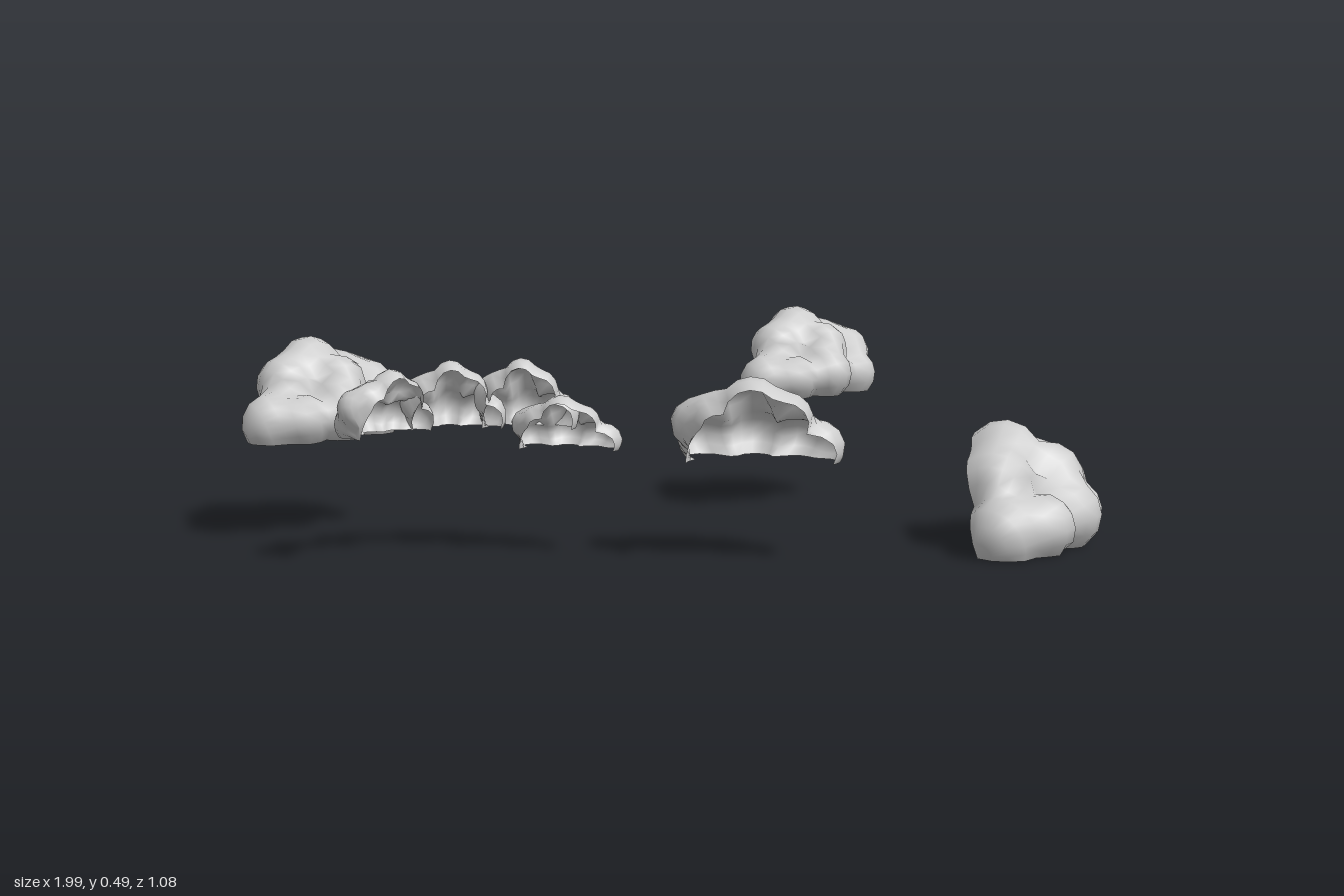
import * as THREE from 'three';

// Lobes of one bush: x, y, z, radius (x along its length, +z its leafy side)
const BACK = -0.07; // depth of the open back
const LOBES = [
  [-0.19, 0.05, -0.02, 0.088], [-0.095, 0.145, -0.06, 0.09], [-0.13, 0.06, 0.055, 0.075],
  [-0.005, 0.187, -0.065, 0.093], [-0.01, 0.07, 0.08, 0.085], [0.02, 0.15, 0.035, 0.08],
  [0.1, 0.145, -0.03, 0.085], [0.155, 0.12, 0.01, 0.085], [0.14, 0.055, 0.06, 0.08],
].map(([x, y, z, r]) => ({ c: new THREE.Vector3(x, y, z - BACK), r }));

// Distance from the middle of the back to the lumpy skin along direction d
function reach(d) {
  let t = 1 / Math.hypot(d.x / 0.19, d.y / 0.19, d.z / 0.15);
  for (const { c, r } of LOBES) {
    const b = d.dot(c);
    const q = b * b - c.lengthSq() + r * r;
    if (q > 0) t = Math.max(t, b + Math.sqrt(q));
  }
  return t;
}

// Thin leafy shell, open underneath and behind, swept from front foot over the top
function bushGeometry(nu, nv) {
  const pos = [], index = [], d = new THREE.Vector3();
  for (let j = 0; j <= nv; j++) {
    const phi = (j / nv) * THREE.MathUtils.degToRad(105);
    for (let i = 0; i <= nu; i++) {
      const th = (i / nu) * Math.PI;
      d.set(-Math.cos(th), Math.sin(th) * Math.sin(phi), Math.sin(th) * Math.cos(phi));
      const t = reach(d);
      pos.push(d.x * t + 0.01, d.y * t, d.z * t + BACK - 0.01);
      if (i < nu && j < nv) {
        const a = j * (nu + 1) + i, b = a + nu + 1;
        if (i > 0) index.push(a, a + 1, b);
        if (i < nu - 1) index.push(a + 1, b + 1, b);
      }
    }
  }
  const g = new THREE.BufferGeometry();
  g.setAttribute('position', new THREE.Float32BufferAttribute(pos, 3));
  g.setIndex(index);
  g.computeVertexNormals();
  return g;
}

// name, position, turn about y, size along length / height / depth
const BUSHES = [
  ['leftBush', [0.838, 0, 0.1], 1.29, [0.98, 1.01, 1.0]],
  ['rightBush', [-0.817, 0.225, 0.04], 0.93, [0.8, 0.83, 0.8]],
  ['backBush', [0.316, 0.28, -0.386], 0.85, [0.75, 0.76, 0.75]],
  ['frontBush', [0.2, 0.225, 0.334], Math.PI, [0.75, 0.69, 0.76]],
  ['hedgeEnd', [-0.613, 0.29, 0.44], -2.29, [0.46, 0.53, 0.46]],
  ['hedgeOuter', [-0.478, 0.29, 0.332], -2.9, [0.46, 0.56, 0.46]],
  ['hedgeInner', [-0.315, 0.29, 0.305], Math.PI, [0.46, 0.57, 0.46]],
  ['hedgeLow', [-0.223, 0.245, 0.317], 3.05, [0.49, 0.44, 0.45]],
];

export function createModel() {
  const foliage = new THREE.MeshStandardMaterial({ color: 0xcccccc, side: THREE.DoubleSide });
  foliage.name = 'foliageGrey';
  const model = new THREE.Group();
  model.name = 'bushes';
  const shell = bushGeometry(22, 12);

  for (const [name, position, turn, size] of BUSHES) {
    const bush = new THREE.Mesh(shell, foliage);
    bush.name = name;
    bush.position.set(...position);
    bush.rotation.y = turn;
    bush.scale.set(...size);
    model.add(bush);
  }
  return model;
}
